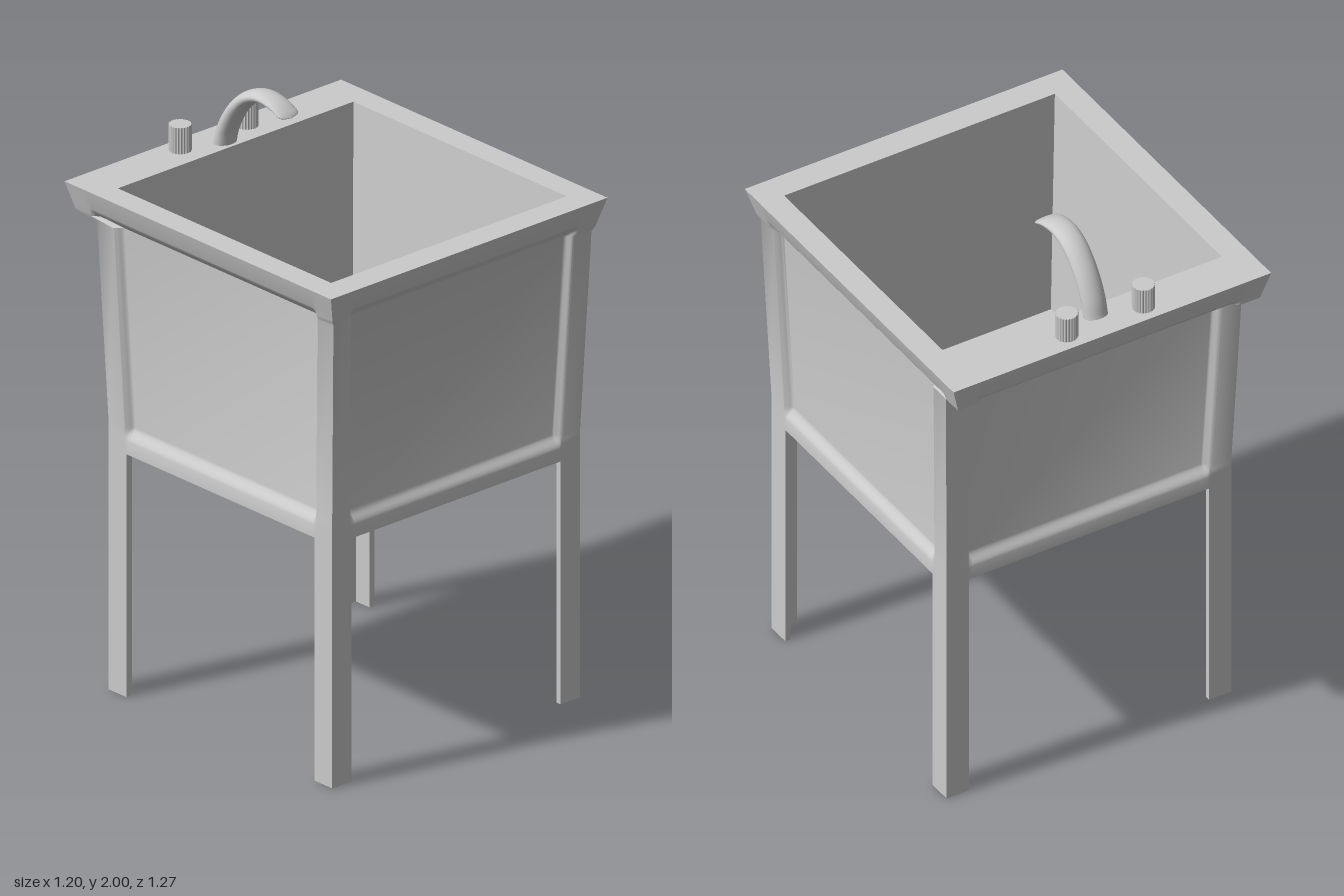
import * as THREE from 'three';
import { toCreasedNormals } from 'three/addons/utils/BufferGeometryUtils.js';
import { ParametricGeometry } from 'three/addons/geometries/ParametricGeometry.js';

const { smoothstep, lerp, clamp } = THREE.MathUtils;
const grey = new THREE.MeshStandardMaterial({ color: 0xcccccc });
const TOP = 1.76, BOTTOM = 0.855;

function add(parent, name, geometry) {
  const mesh = new THREE.Mesh(geometry, grey);
  mesh.name = name;
  parent.add(mesh);
  return mesh;
}

// Skin of rectangular rings [y, x0, x1, z0, z1, inset]; the inset recesses
// the middle of each side, past the distances in `steps` from its corners.
function loftRings(rows, steps = [0]) {
  const pos = [];
  const sidePoints = ([y, x0, x1, z0, z1, inset = 0], k) => {
    const corners = [[x1, z1], [x1, z0], [x0, z0], [x0, z1]];
    const a = corners[k], b = corners[(k + 1) % 4];
    const len = Math.hypot(b[0] - a[0], b[1] - a[1]) || 1;
    const tx = (b[0] - a[0]) / len, tz = (b[1] - a[1]) / len;
    const along = [...steps, ...steps.map((d) => len - d).reverse()];
    return along.map((d) => {
      const depth = inset * smoothstep(Math.min(d, len - d), 0.074, 0.1);
      return [a[0] + tx * d + tz * depth, y, a[1] + tz * d - tx * depth];
    });
  };
  for (let k = 0; k < 4; k++) {
    for (let r = 0; r + 1 < rows.length; r++) {
      const lo = sidePoints(rows[r], k), hi = sidePoints(rows[r + 1], k);
      for (let i = 0; i + 1 < lo.length; i++) {
        pos.push(...lo[i], ...lo[i + 1], ...hi[i + 1], ...lo[i], ...hi[i + 1], ...hi[i]);
      }
    }
  }
  const g = new THREE.BufferGeometry();
  g.setAttribute('position', new THREE.Float32BufferAttribute(pos, 3));
  return toCreasedNormals(g, 0.7);
}

// Vertical prism from [x, z] points
function prism(points, y, height) {
  const shape = new THREE.Shape(points.map(([x, z]) => new THREE.Vector2(x, -z)));
  return new THREE.ExtrudeGeometry(shape, { depth: height, bevelEnabled: false })
    .rotateX(-Math.PI / 2).translate(0, y, 0);
}

// Tapered tub wall with recessed panels, flaring into the rim
function tubWall() {
  const inset = (y) => 0.026 * smoothstep(y, 0.9, 0.945) * (1 - smoothstep(y, 1.645, 1.69));
  const rows = [BOTTOM, 0.9, 0.909, 0.918, 0.927, 0.936, 0.945, 0.95, 1.645].map((y) => {
    const t = clamp((y - 0.95) / 0.695, 0, 1);
    const x = lerp(0.54, 0.562, t);
    return [y, -x, x, lerp(-0.495, -0.525, t), lerp(0.575, 0.605, t), inset(y)];
  });
  for (const y of [1.66, 1.668, 1.676, 1.684, 1.69, TOP]) {
    const t = (y - 1.66) / (TOP - 1.66);
    const x = lerp(0.572, 0.602, t);
    rows.push([y, -x, x, lerp(-0.617, -0.637, t), lerp(0.612, 0.637, t), inset(y)]);
  }
  return loftRings(rows, [0, 0.074, 0.079, 0.084, 0.09, 0.095, 0.1]);
}

// Arched spout: elliptical sections along a curve of (z, y, half thickness)
function spout() {
  const path = new THREE.CatmullRomCurve3([
    [-0.207, 1.944, 0.006], [-0.265, 1.971, 0.015], [-0.335, 1.98, 0.02], [-0.4, 1.957, 0.024],
    [-0.463, 1.897, 0.028], [-0.51, 1.815, 0.03], [-0.527, 1.755, 0.032],
  ].map((p) => new THREE.Vector3(...p)));
  return new ParametricGeometry((u, v, target) => {
    const p = path.getPoint(v), t = path.getTangent(v);
    const n = Math.hypot(t.x, t.y), a = u * Math.PI * 2;
    const round = v < 0.06 ? Math.sqrt(1 - (1 - v / 0.06) ** 2) : 1;
    const w = 0.043 * round * Math.cos(a), h = p.z * round * Math.sin(a);
    target.set(-0.005 + w, p.y + (h * t.x) / n, p.x - (h * t.y) / n);
  }, 24, 48);
}

export function createModel() {
  const model = new THREE.Group();
  model.name = 'utilitySink';

  add(model, 'tubWall', tubWall());

  // Flat rim top, inner walls and floor
  add(model, 'basin', loftRings([
    [TOP, -0.602, 0.602, -0.637, 0.637],
    [TOP, -0.513, 0.513, -0.48, 0.54],
    [0.93, -0.473, 0.473, -0.44, 0.5],
    [0.93, 0, 0, 0.03, 0.03],
  ]));

  // Underside of the tub
  add(model, 'underside', new THREE.PlaneGeometry(1.08, 1.07)
    .rotateX(Math.PI / 2).translate(0, BOTTOM, 0.04));

  // Four angle-section legs, open towards the inside
  const w = 0.085, t = 0.02;
  for (const sx of [-1, 1]) {
    for (const sz of [-1, 1]) {
      const angle = [[0, 0], [w, 0], [w, t], [t, t], [t, w], [0, w]]
        .map(([x, z]) => [sx * (0.54 - x), 0.04 + sz * (0.535 - z)]);
      add(model, `${sz > 0 ? 'front' : 'back'}${sx > 0 ? 'Left' : 'Right'}Leg`, prism(angle, 0, BOTTOM));
    }
  }

  // Faucet with two fluted knobs
  const faucet = new THREE.Group();
  faucet.name = 'faucet';
  model.add(faucet);
  add(faucet, 'spout', spout());
  const flutes = Array.from({ length: 48 }, (_, i) => {
    const a = (i / 48) * Math.PI * 2, r = i % 2 ? 0.038 : 0.035;
    return [r * Math.cos(a), r * Math.sin(a)];
  });
  for (const [name, x] of [['rightKnob', -0.158], ['leftKnob', 0.133]]) {
    add(faucet, name, prism(flutes, TOP, 0.092)).position.set(x, 0, -0.572);
  }

  return model;
}
